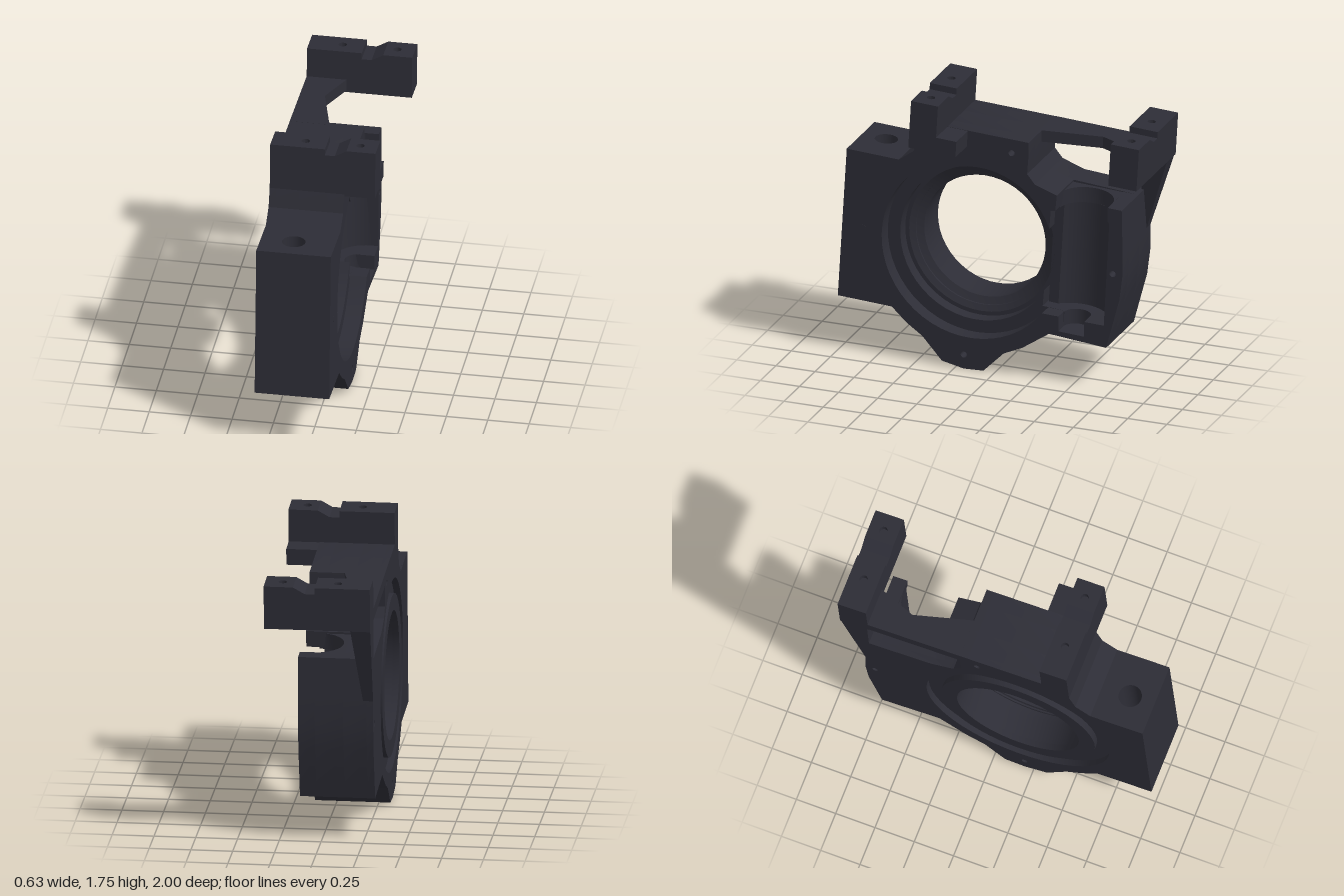
import * as THREE from 'three';
import { toCreasedNormals } from 'three/addons/utils/BufferGeometryUtils.js';
import { ConvexGeometry } from 'three/addons/geometries/ConvexGeometry.js';

const TILT = -0.06; // the whole casting leans slightly about x
const BORE = [0.15, 0.773]; // bore centre as z, y
const X0 = -0.32, X1 = 0.13, ARM_X = 0.315;

const metal = new THREE.MeshStandardMaterial({ color: 0x2d2d36 });
metal.name = 'darkMetal';
const metalOpen = metal.clone();
metalOpen.side = THREE.DoubleSide;

export function createModel() {
  const model = new THREE.Group();
  model.name = 'bearingHousing';

  const add = (name, geometry, parent = model, material = metal) => {
    const mesh = new THREE.Mesh(geometry, material);
    mesh.name = name;
    parent.add(mesh);
    return mesh;
  };
  const tilted = (name, z, y) => {
    const g = new THREE.Group();
    g.name = name;
    g.position.set(0, y, z);
    g.rotation.x = TILT;
    model.add(g);
    return g;
  };
  // Clockwise, so that it becomes a proper hole once the profile is mirrored
  const circle = (cx, cy, r, n = 48) => Array.from({ length: n }, (_, i) => {
    const a = -(i / n) * Math.PI * 2;
    return [cx + r * Math.cos(a), cy + r * Math.sin(a)];
  });
  const extrude = (points, holes, depth) => {
    const vec = (list) => list.map(([a, b]) => new THREE.Vector2(a, b));
    const shape = new THREE.Shape(vec(points));
    for (const h of holes) shape.holes.push(new THREE.Path(vec(h)));
    return new THREE.ExtrudeGeometry(shape, { depth, bevelEnabled: false });
  };
  // Side profile in (z, y), extruded along x
  const slab = (points, holes, xa, xb) => {
    const flip = (list) => list.map(([z, y]) => [-z, y]);
    const g = extrude(flip(points), holes.map(flip), xb - xa);
    g.rotateY(Math.PI / 2).translate(xa, 0, 0);
    return toCreasedNormals(g, 0.35);
  };
  // Plan outline in (x, z), extruded upwards
  const plan = (points, holes, height) => {
    const flip = (list) => list.map(([x, z]) => [x, -z]);
    const g = extrude(flip(points), holes.map(flip), height).rotateX(-Math.PI / 2);
    return toCreasedNormals(g, 0.35);
  };

  // Body outline, with the roller pocket opening into its upper rear edge
  const upper = [[0.709, 1.2862], [0.61, 1.28], [0.515, 1.35], [0.48, 1.45], [0.46, 1.5],
    [0.31, 1.54], [-0.22, 1.512], [-0.22, 1.44], [-0.21, 1.31], [-0.26, 1.25], [-0.4, 1.2]];
  const lower = [[-0.815, 1.165], [-0.82, 0.915], [-0.82, 0.75], [-0.8, 0.59], [-0.715, 0.27],
    [-0.35, 0.305], [-0.18, 0.19], [-0.06, 0.135], [0.07, 0.005], [0.195, 0], [0.335, 0.03],
    [0.46, 0.17], [0.56, 0.24], [0.655, 0.329], [0.766, 0.336]];
  const pocketFar = [[-0.41, 0.425], [-0.41, 0.33], [-0.575, 0.32], [-0.575, 0.415],
    [-0.7, 0.41], [-0.735, 1.07], [-0.725, 1.08], [-0.725, 1.17]];
  // Part of the bore edge, running clockwise between two angles in degrees
  const boreArc = (r, from, to) => Array.from({ length: 45 }, (_, i) => {
    const a = THREE.MathUtils.degToRad(from + ((to - from) * i) / 44);
    return [BORE[0] + r * Math.cos(a), BORE[1] + r * Math.sin(a)];
  });
  const solid = [...upper, ...lower];
  const pocketed = [...upper, [-0.39, 1.1], [-0.325, 1.095], ...boreArc(0.49, 160.6, -151.1),
    [-0.27, 0.435], ...pocketFar, ...lower];
  const open = [...upper, [-0.39, 1.1], ...boreArc(0.57, 146, -143), ...pocketFar, ...lower];
  const bolts = [[-0.11, 1.43], [-0.757, 0.75], [0.195, 0.09]].map(([z, y]) => circle(z, y, 0.02, 16));
  const bore = (r) => circle(...BORE, r);

  add('bodyOuterLayer', slab(open, bolts, 0.03, X1));
  add('bodyPocketLayer', slab(pocketed, bolts, -0.14, 0.03));
  add('bodyCoreLayer', slab(solid, [bore(0.388), ...bolts], -0.28, -0.14));
  // Ring groove around a raised lip on the far face
  add('bodyRimLayer', slab(solid, [bore(0.582), ...bolts], X0, -0.28));
  add('boreLip', slab(bore(0.49), [bore(0.388)], X0, -0.28));

  // Stepped, tapering lining of the bore
  const lining = [[0.388, -0.14], [0.388, -0.1], [0.43, -0.08], [0.43, -0.07], [0.465, -0.05], [0.49, -0.05]]
    .map(([r, x]) => new THREE.Vector2(r, x));
  const liner = toCreasedNormals(new THREE.LatheGeometry(lining, 48), 0.35);
  liner.rotateZ(-Math.PI / 2).translate(0, BORE[1], BORE[0]);
  add('boreLining', liner, model, metalOpen);

  // Concave walls of the pocket: hollow with a flat ledge, upper channel and lower slot
  const hollow = (name, z, y, height, r, cx, tMax, ledge) => {
    const points = [[-0.14, -r], [-0.14, ledge], [cx - r * Math.cos(tMax), ledge]];
    for (let i = 0; i <= 16; i++) {
      const t = tMax - ((tMax + Math.PI / 2) * i) / 16;
      points.push([cx - r * Math.cos(t), r * Math.sin(t)]);
    }
    add(name + 'Wall', plan(points, [], height), tilted(name, z, y));
  };
  hollow('pocketHollow', -0.492, 0.415, 0.67, 0.208, 0.09, 0.83, 0.215);
  hollow('pocketChannel', -0.552, 1.08, 0.098, 0.165, 0.05, Math.PI / 2, 0.17);
  hollow('pocketSlot', -0.492, 0.325, 0.095, 0.083, 0.045, Math.PI / 2, 0.09);

  // Front clamp block with a vertical through hole
  const block = tilted('frontBlock', 1.0, 0.35);
  add('frontBlockBody', plan([[X0, -0.235], [X1, -0.235], [X1, 0], [X0, 0]],
    [circle(-0.12, -0.155, 0.07, 28)], 0.952), block);
  const plug = new THREE.CylinderGeometry(0.02, 0.02, 0.004, 16).rotateZ(Math.PI / 2);
  add('sidePlug', plug.translate(X1 - 0.001, 0.81, 0.84));

  // Notched mounting arms with drilled pads
  const arm = (name, z, y, h, depth) => {
    const g = tilted(name, z, y);
    const s = h - 0.04;
    add(name + 'Base', extrude([[X0, 0], [ARM_X, 0], [ARM_X, s], [0.14, s], [0.14, h], [0.07, s], [X0, s]], [], depth), g);
    for (const [a, b, hx] of [[X0, 0.01, -0.12], [0.14, ARM_X, 0.21]]) {
      const pad = plan([[a, 0], [b, 0], [b, depth], [a, depth]], [circle(hx, depth / 2, 0.025, 16)], 0.04);
      add(name + 'Pad', pad.translate(0, s, 0), g);
    }
    return g;
  };
  const front = arm('frontArm', 0.305, 1.438, 0.302, 0.172);
  const foot = new THREE.BoxGeometry(ARM_X - X0, 0.1, 0.13);
  add('frontArmFoot', foot.translate((ARM_X + X0) / 2, 0.05, -0.065), front);
  arm('rearArm', -0.982, 1.385, 0.268, 0.18);

  // Bar bridging to the rear arm, waisted in plan
  add('bridgeBar', plan([[X0, 0], [-0.08, 0], [-0.17, -0.36], [-0.08, -0.59], [-0.08, -0.64], [X0, -0.64]],
    [], 0.073), tilted('bridge', -0.215, 1.44));

  // Tapered strut from the rear arm down to the body
  const strut = [[X0, 1.4, -0.81], [-0.2, 1.4, -0.81], [X0, 1.388, -0.976], [-0.2, 1.388, -0.976],
    [X0, 0.9, -0.818], [-0.26, 0.9, -0.818], [X0, 1.0, -0.79], [-0.25, 1.0, -0.79], [X0, 1.16, -0.81]];
  add('rearStrut', new ConvexGeometry(strut.map((p) => new THREE.Vector3(...p))));

  return model;
}
